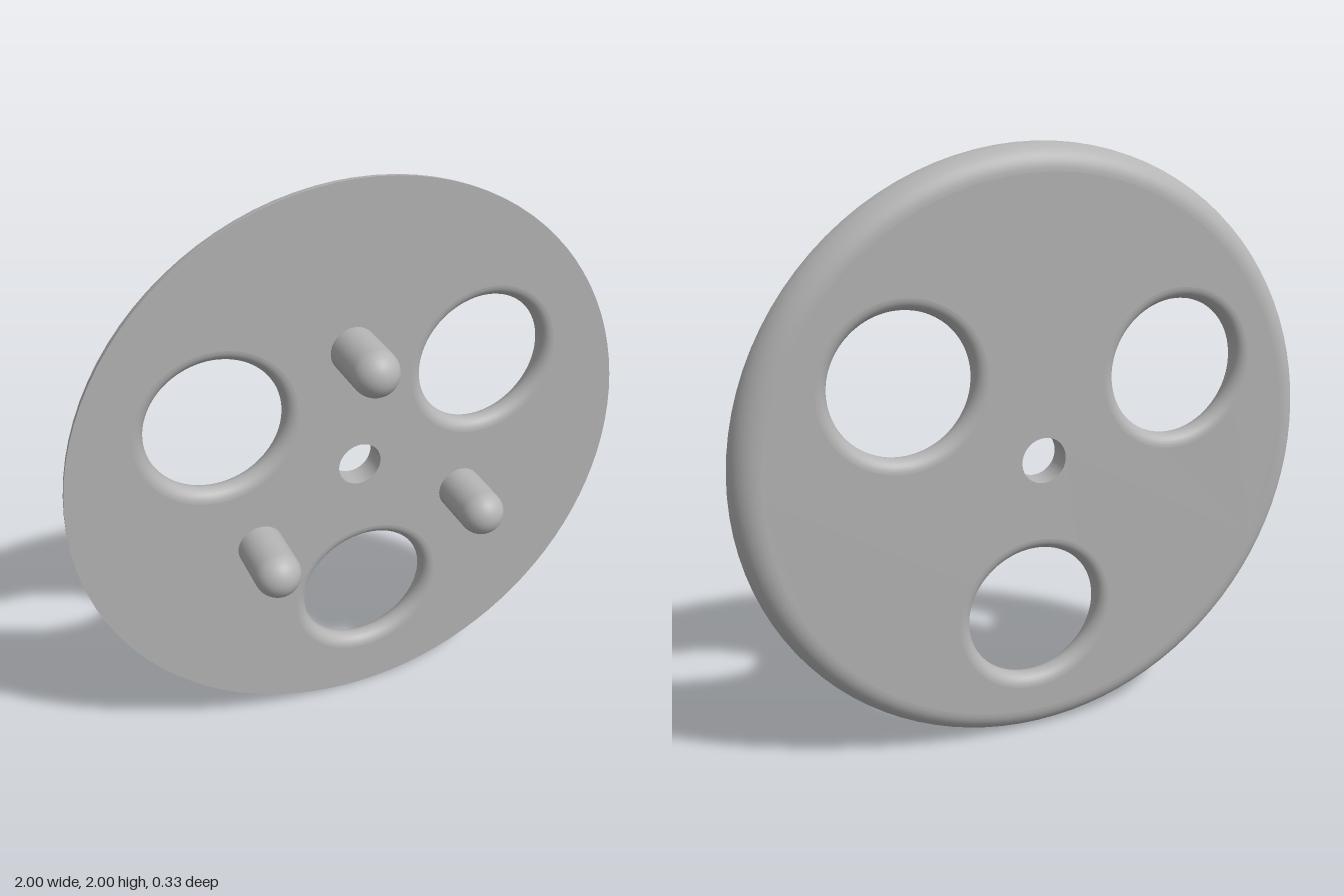
import * as THREE from 'three';

const FRONT = -0.08, BACK = -0.165;          // plate faces along z
const MID = (FRONT + BACK) / 2, HALF = (FRONT - BACK) / 2;
const RIM_ROUND = FRONT - BACK;              // quarter-round on the back edge
const BORE_R = 0.077, HOLE_R = 0.232, PEG_R = 0.08;
const SEG = 96;

// Points on an arc in (radius, z), angles in degrees
function arc(r, z, size, from, to, n = 12) {
  return Array.from({ length: n + 1 }, (_, i) => {
    const a = THREE.MathUtils.degToRad(from + (to - from) * i / n);
    return new THREE.Vector2(Math.max(0, r + size * Math.cos(a)), z + size * Math.sin(a));
  });
}

// Three positions around the plate centre
function around(radius, startDeg) {
  return [0, 120, 240].map(d => {
    const a = THREE.MathUtils.degToRad(startDeg + d);
    return new THREE.Vector2(radius * Math.cos(a), radius * Math.sin(a));
  });
}

export function createModel() {
  const model = new THREE.Group();
  model.name = 'disc';
  const grey = new THREE.MeshStandardMaterial({ color: 0xb4b4b4 });
  grey.name = 'grey';

  const plate = new THREE.Group();
  plate.name = 'plate';
  plate.position.y = 1;
  model.add(plate);

  const add = (name, geometry, x = 0, y = 0) => {
    const mesh = new THREE.Mesh(geometry, grey);
    mesh.name = name;
    mesh.position.set(x, y, 0);
    plate.add(mesh);
    return mesh;
  };
  // Revolve a (radius, z) profile about the z axis
  const turned = (points, seg = SEG) => new THREE.LatheGeometry(points, seg).rotateX(Math.PI / 2);

  const holes = around(0.55, 32.5);
  const pegs = around(0.44, 92.5);

  // Flat face pierced by the bore and the three large holes
  const face = (radius, side) => {
    const shape = new THREE.Shape().absarc(0, 0, radius, 0, Math.PI * 2);
    const cut = (x, y, r) => shape.holes.push(new THREE.Path().absarc(x, y, r, 0, Math.PI * 2, true));
    cut(0, 0, BORE_R);
    holes.forEach(h => cut(h.x * side, h.y, HOLE_R + HALF));
    return new THREE.ShapeGeometry(shape, SEG / 2);
  };
  add('frontFace', face(1, 1).translate(0, 0, FRONT));
  add('backFace', face(1 - RIM_ROUND, -1).rotateY(Math.PI).translate(0, 0, BACK));

  // Outer edge, rounded towards the back
  add('rim', turned(arc(1 - RIM_ROUND, FRONT, RIM_ROUND, -90, 0)));

  // Straight centre bore
  add('centreBore', turned([new THREE.Vector2(BORE_R, FRONT), new THREE.Vector2(BORE_R, BACK)]));

  // Large holes with fully rounded lips
  holes.forEach((h, i) =>
    add('holeLip' + (i + 1), turned(arc(HOLE_R + HALF, MID, HALF, 90, 270, 16)), h.x, h.y));

  // Round-ended pegs on the front
  const pegProfile = [new THREE.Vector2(PEG_R, FRONT - 0.01), ...arc(0, 0.165 - PEG_R, PEG_R, 0, 90)];
  pegs.forEach((p, i) => add('peg' + (i + 1), turned(pegProfile, 48), p.x, p.y));

  return model;
}
